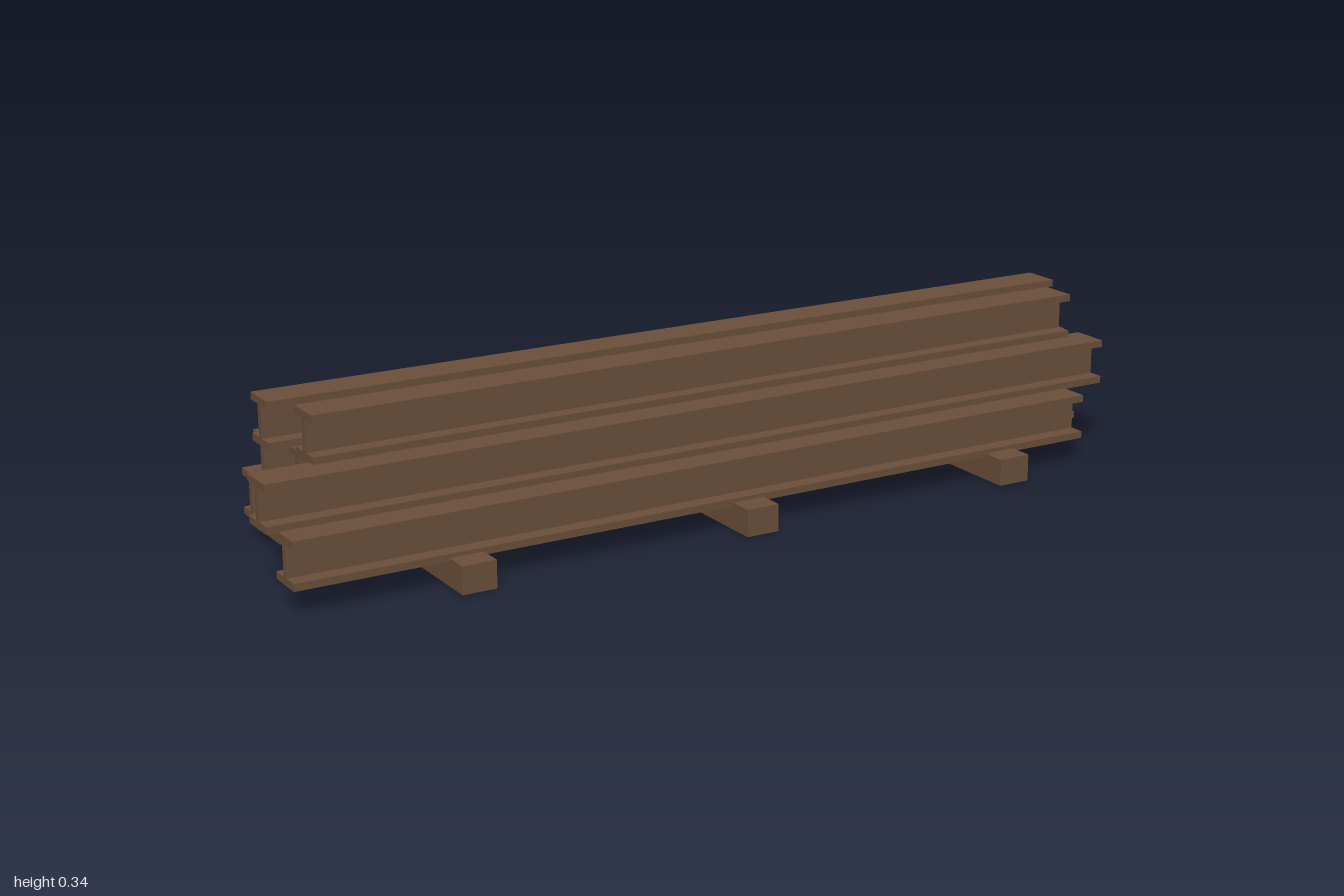
import * as THREE from 'three';

const W = 0.0405, H = 0.048, FLANGE = 0.015, WEB = 0.007;

// I-shaped cross-section, centred on the origin
function beamShape() {
  const right = [[W, -H], [W, -H + FLANGE], [WEB, -H + FLANGE], [WEB, H - FLANGE], [W, H - FLANGE], [W, H]];
  const left = right.map(([x, y]) => [-x, y]).reverse();
  return new THREE.Shape([...right, ...left].map(([x, y]) => new THREE.Vector2(x, y)));
}

export function createModel() {
  const group = new THREE.Group();
  const brown = new THREE.MeshStandardMaterial({ color: 0x6b4f3a });
  brown.name = 'rusty brown';
  const shape = beamShape();

  // Stacked beams, layer by layer: [z, x start, x end]
  const layers = [
    { name: 'bottomBeam', y: 0.098, beams: [[0.189, -0.977, 0.847], [0.063, -0.913, 0.93], [-0.063, -0.9, 0.855], [-0.189, -0.89, 0.998]] },
    { name: 'middleBeam', y: 0.192, beams: [[0.126, -1, 0.947], [0, -0.868, 0.943], [-0.126, -0.887, 0.981]] },
    { name: 'topBeam', y: 0.287, beams: [[0.063, -0.877, 0.904], [-0.063, -0.913, 0.958]] },
  ];
  for (const { name, y, beams } of layers) {
    beams.forEach(([z, x0, x1], i) => {
      const geometry = new THREE.ExtrudeGeometry(shape, { depth: x1 - x0, bevelEnabled: false });
      geometry.rotateY(Math.PI / 2);
      const beam = new THREE.Mesh(geometry, brown);
      beam.name = name + (i + 1);
      beam.position.set(x0, y, z);
      group.add(beam);
    });
  }

  // Cross bearers under the stack
  [-0.63, -0.004, 0.624].forEach((x, i) => {
    const bearer = new THREE.Mesh(new THREE.BoxGeometry(0.072, 0.057, 0.566), brown);
    bearer.name = 'bearer' + (i + 1);
    bearer.position.set(x, 0.0285, 0);
    group.add(bearer);
  });
  return group;
}
